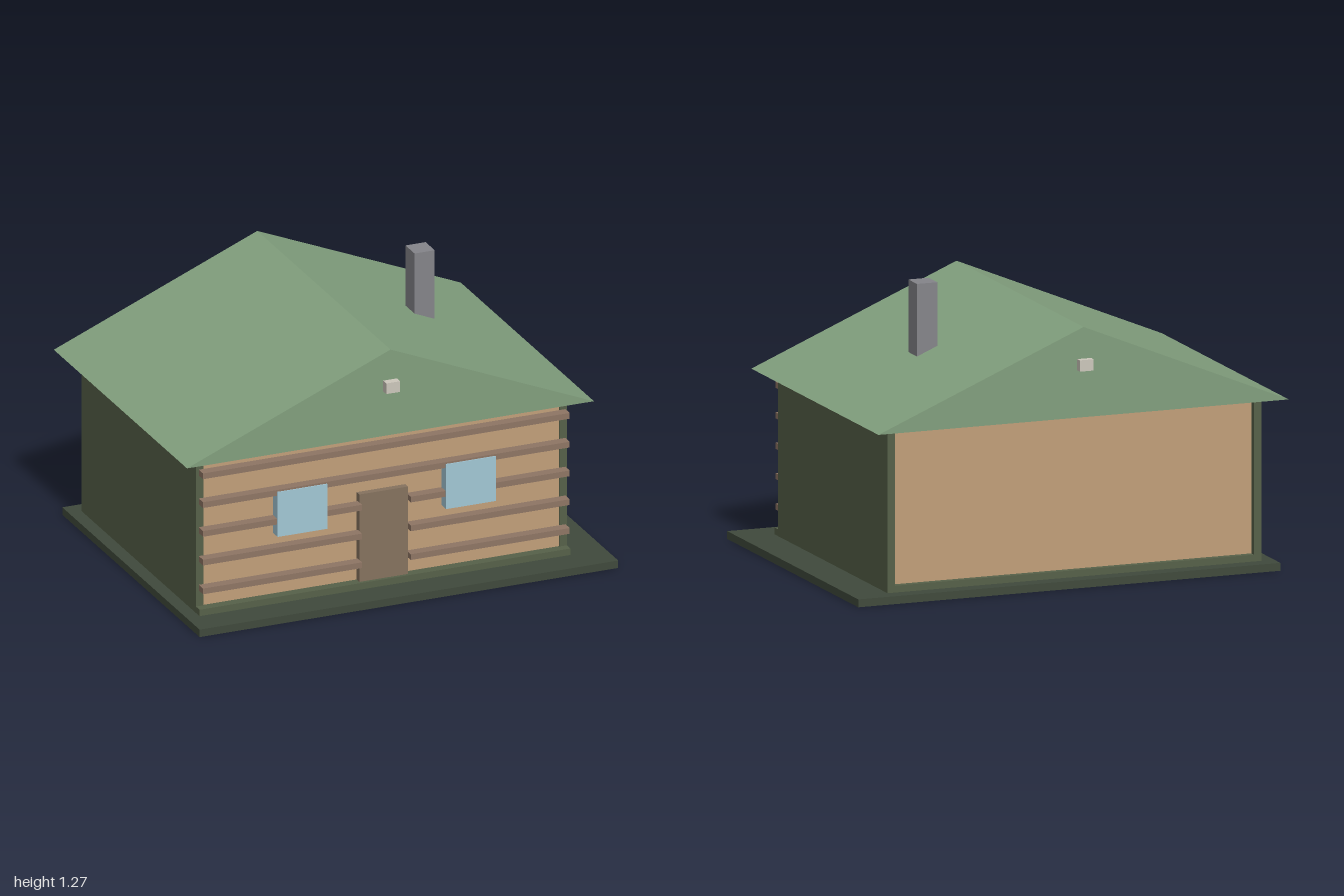
import * as THREE from 'three';

const mat = (color) => new THREE.MeshStandardMaterial({ color });

export function createModel() {
  const house = new THREE.Group();
  house.name = 'cabin';
  const green = mat(0x566149), darkGreen = mat(0x404a3c), tan = mat(0xc2a07a);
  const logBrown = mat(0x8f7665), doorBrown = mat(0x86735f), glass = mat(0xa3c8d6);
  const stone = mat(0x85858a), pale = mat(0xcdc8bc);
  const roofGreen = mat(0x82a07e);
  roofGreen.side = THREE.DoubleSide;

  // Box given by its extents on each axis
  const box = (name, material, [x0, x1], [y0, y1], [z0, z1]) => {
    const mesh = new THREE.Mesh(new THREE.BoxGeometry(x1 - x0, y1 - y0, z1 - z0), material);
    mesh.position.set((x0 + x1) / 2, (y0 + y1) / 2, (z0 + z1) / 2);
    mesh.name = name;
    house.add(mesh);
  };

  // Ground slab and floor sill
  box('baseSlab', darkGreen, [-0.975, 1], [0, 0.035], [-0.72, 0.785]);
  box('floorSill', green, [-0.915, 0.835], [0.035, 0.065], [-0.65, 0.645]);

  // Side walls, with front and back panels between them
  box('rightWall', green, [-0.915, -0.88], [0.065, 0.78], [-0.65, 0.605]);
  box('leftWall', green, [0.8, 0.835], [0.065, 0.78], [-0.65, 0.605]);
  box('frontWall', tan, [-0.88, 0.8], [0.065, 0.765], [0.565, 0.6]);
  box('backWall', tan, [-0.88, 0.8], [0.065, 0.765], [-0.62, -0.585]);

  // Front logs; the lower three stop at the door
  for (let i = 0; i < 5; i++) {
    const y = 0.155 + i * 0.135;
    const spans = i < 3 ? [[-0.905, -0.155], [0.075, 0.825]] : [[-0.905, 0.825]];
    for (const span of spans) box('wallLog', logBrown, span, [y - 0.0135, y + 0.0135], [0.613, 0.66]);
  }

  // Door and windows
  box('door', doorBrown, [-0.155, 0.075], [0.065, 0.475], [0.6, 0.63]);
  for (const x of [-0.555, 0.24]) box('window', glass, [x, x + 0.235], [0.355, 0.565], [0.615, 0.665]);

  // Hollow gable roof, open underneath: two slopes and two gable ends
  const zb = -0.755, zf = 0.705;
  const [a, b, c] = [[-1, 0.765], [0.92, 0.765], [-0.04, 1.165]];
  const v = (p, z) => [p[0], p[1], z];
  const quad = (p, q) => [v(p, zf), v(q, zf), v(q, zb), v(p, zf), v(q, zb), v(p, zb)];
  const corners = [
    ...quad(b, c).map((p) => [...p]).reverse(),
    ...quad(c, a).reverse(),
    v(a, zf), v(b, zf), v(c, zf),
    v(b, zb), v(a, zb), v(c, zb),
  ];
  // Slopes wind outward
  for (let i = 0; i < 12; i += 3) {
    const [p, q, r] = corners.slice(i, i + 3).map((k) => new THREE.Vector3(...k));
    if (q.clone().sub(p).cross(r.clone().sub(p)).y < 0) {
      [corners[i], corners[i + 1]] = [corners[i + 1], corners[i]];
    }
  }
  const roofGeometry = new THREE.BufferGeometry();
  roofGeometry.setAttribute('position', new THREE.Float32BufferAttribute(corners.flat(), 3));
  roofGeometry.computeVertexNormals();
  const roof = new THREE.Mesh(roofGeometry, roofGreen);
  roof.name = 'roof';
  house.add(roof);

  // Beam through both gables, and the chimney
  box('roofBeam', pale, [-0.075, -0.01], [0.975, 1.025], [-0.785, 0.74]);
  box('chimney', stone, [0.385, 0.48], [0.945, 1.27], [-0.118, -0.018]);

  return house;
}
